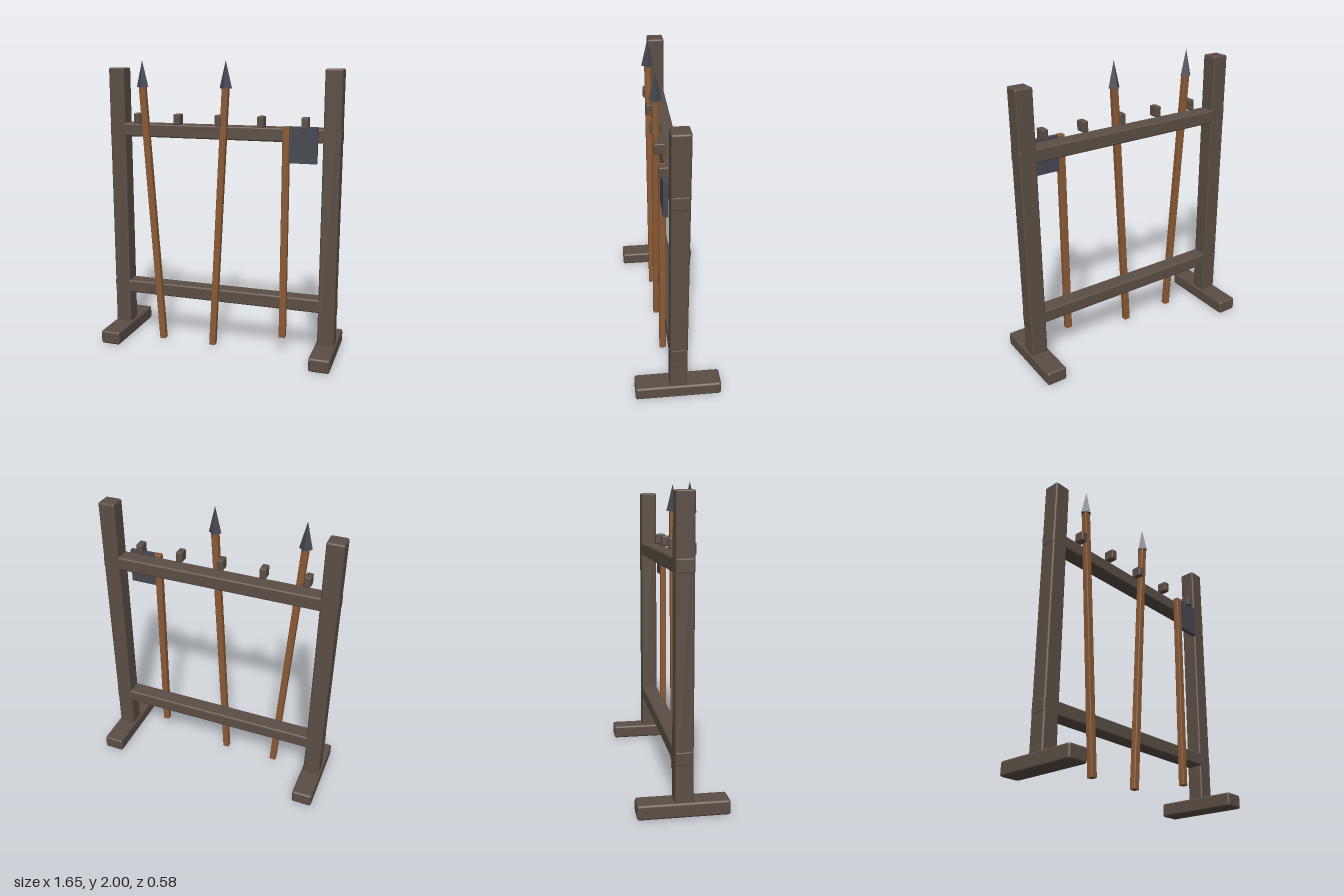
import * as THREE from 'three';
import { RoundedBoxGeometry } from 'three/addons/geometries/RoundedBoxGeometry.js';

export function createModel() {
  const rack = new THREE.Group();
  rack.name = 'weaponRack';

  const mat = (name, color, flatShading = false) => {
    const m = new THREE.MeshStandardMaterial({ color, flatShading });
    m.name = name;
    return m;
  };
  const darkWood = mat('darkWood', 0x5b4f45);
  const shaftWood = mat('shaftWood', 0x8b5a35);
  const iron = mat('iron', 0x464751, true);

  const add = (parent, name, geometry, material, x, y, z) => {
    const mesh = new THREE.Mesh(geometry, material);
    mesh.name = name;
    mesh.position.set(x, y, z);
    parent.add(mesh);
    return mesh;
  };
  const block = (w, h, d, r) => new RoundedBoxGeometry(w, h, d, 2, r);

  // Posts on long feet
  for (const [side, s] of [['left', 1], ['right', -1]]) {
    add(rack, side + 'Post', block(0.115, 1.9, 0.115, 0.012), darkWood, s * 0.755, 1.0, 0);
    add(rack, side + 'Foot', block(0.142, 0.095, 0.577, 0.015), darkWood, s * 0.754, 0.0475, 0);
  }

  // Rails, running through both posts
  add(rack, 'upperRail', block(1.63, 0.093, 0.114, 0.012), darkWood, 0, 1.523, 0);
  add(rack, 'lowerRail', block(1.63, 0.093, 0.114, 0.012), darkWood, 0, 0.37, 0);

  // Pegs along the upper rail
  for (let i = -2; i <= 2; i++) {
    add(rack, 'peg', block(0.045, 0.073, 0.072, 0.007), darkWood, i * 0.2925, 1.608, 0.07);
  }

  // Leaning spears: bottom x and top x
  const spearZ = 0.072;
  for (const [x0, x1] of [[-0.427, -0.55], [-0.048, 0.047]]) {
    const spear = new THREE.Group();
    spear.name = 'spear';
    const y0 = 0.008, y1 = 1.83;
    const length = Math.hypot(x1 - x0, y1 - y0);
    const shaft = add(spear, 'spearShaft', block(0.045, length, 0.043, 0.006), shaftWood,
      (x0 + x1) / 2, (y0 + y1) / 2, spearZ);
    shaft.rotation.z = -Math.atan2(x1 - x0, y1 - y0);
    add(spear, 'spearHead', new THREE.ConeGeometry(0.043, 0.18, 4), iron, x1, 1.91, spearZ);
    rack.add(spear);
  }

  // Hanging axe
  const axe = new THREE.Group();
  axe.name = 'axe';
  add(axe, 'axeHandle', block(0.046, 1.455, 0.043, 0.006), shaftWood, 0.46, 0.857, spearZ);
  add(axe, 'axeBlade', new THREE.BoxGeometry(0.19, 0.238, 0.03), iron, 0.571, 1.464, 0.071);
  rack.add(axe);

  return rack;
}
